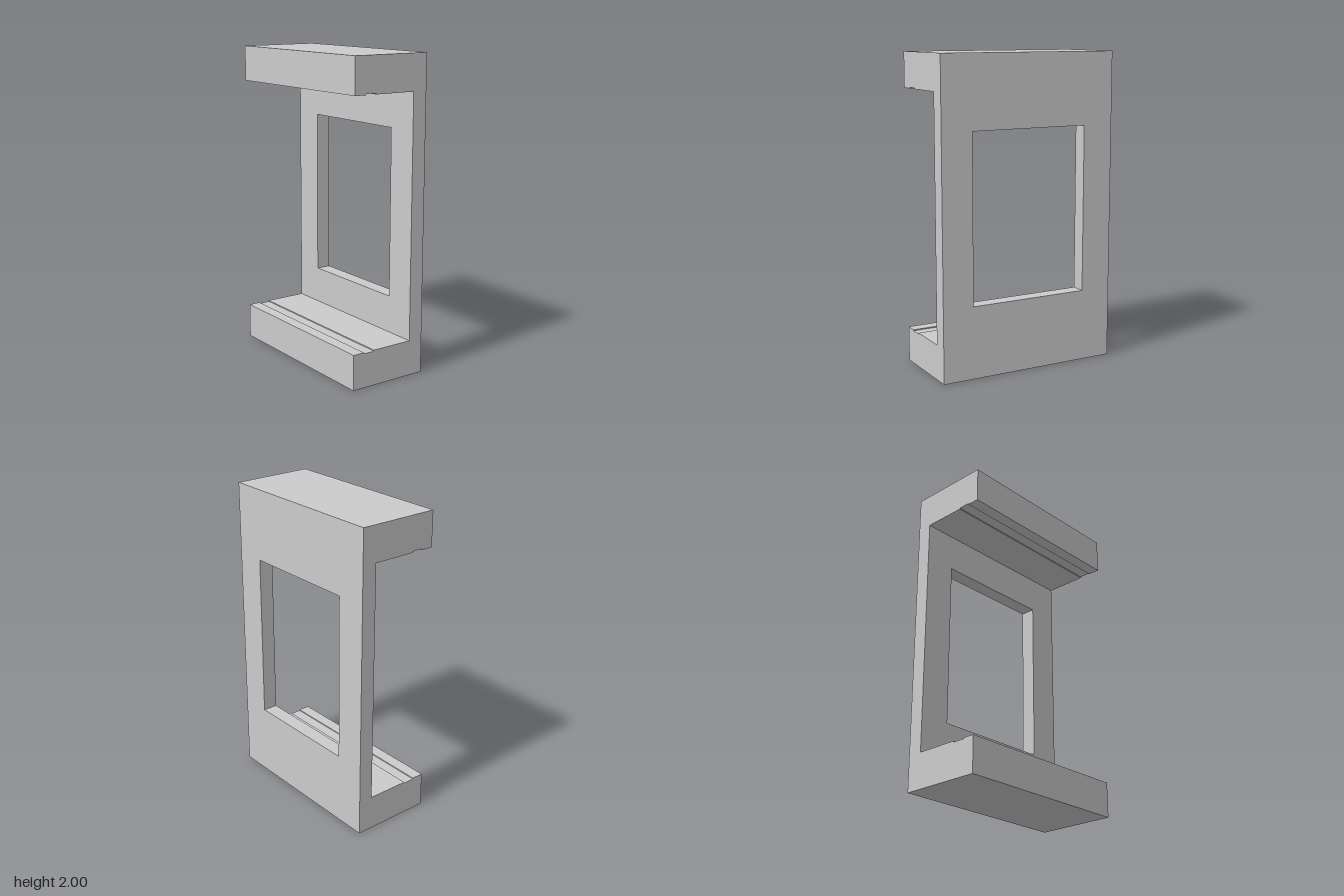
import * as THREE from 'three';

const W = 1.2, H = 2, BACK = -0.265, FRONT = 0.265;
const BLOCK = 0.226, WALL_FRONT = -0.168;
const GROOVE = { front: 0.187, back: 0.11, depth: 0.007 };

export function createModel() {
  const group = new THREE.Group();
  const material = new THREE.MeshStandardMaterial({ color: 0xcccccc });
  const add = (name, geometry) => {
    const mesh = new THREE.Mesh(geometry, material);
    mesh.name = name;
    group.add(mesh);
  };

  // Side profile (z, y) of a ledge with a shallow groove, swept across the width
  const ledge = (mapY) => {
    const floor = BLOCK - GROOVE.depth;
    const points = [
      [BACK, 0], [FRONT, 0], [FRONT, BLOCK],
      [GROOVE.front, BLOCK], [GROOVE.front, floor],
      [GROOVE.back, floor], [GROOVE.back, BLOCK],
      [BACK, BLOCK],
    ].map(([z, y]) => new THREE.Vector2(z, mapY(y)));
    return new THREE.ExtrudeGeometry(new THREE.Shape(points), { depth: W, bevelEnabled: false })
      .translate(0, 0, -W / 2)
      .rotateY(-Math.PI / 2);
  };
  add('bottomLedge', ledge((y) => y));
  add('topLedge', ledge((y) => H - y));

  // Back wall between the ledges, with a rectangular window
  const rectangle = (Type, x, y0, y1) => new Type([
    new THREE.Vector2(-x, y0), new THREE.Vector2(x, y0),
    new THREE.Vector2(x, y1), new THREE.Vector2(-x, y1),
  ]);
  const wall = rectangle(THREE.Shape, W / 2, BLOCK, H - BLOCK);
  wall.holes.push(rectangle(THREE.Path, 0.395, 0.464, 1.538));
  add('backWall', new THREE.ExtrudeGeometry(wall, { depth: WALL_FRONT - BACK, bevelEnabled: false })
    .translate(0, 0, BACK));

  return group;
}
